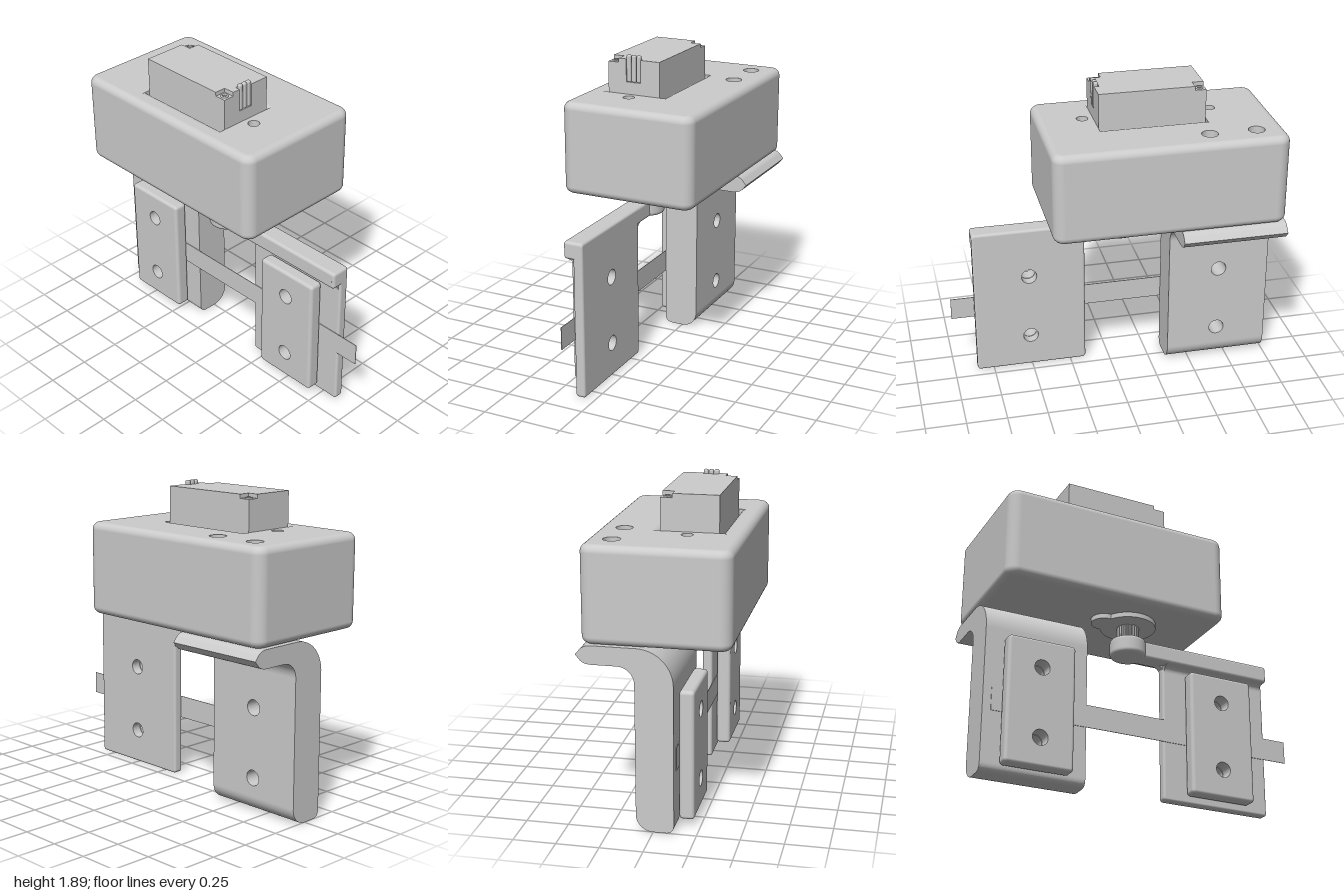
import * as THREE from 'three';
import { mergeGeometries } from 'three/addons/utils/BufferGeometryUtils.js';
import { RoundedBoxGeometry } from 'three/addons/geometries/RoundedBoxGeometry.js';

const grey = new THREE.MeshStandardMaterial({ color: 0xcccccc, side: THREE.DoubleSide });
const P = (x, y) => new THREE.Vector2(x, y);

// hole outlines; "from" is the depth at which a blind hole starts (0 = goes right through)
const circle = (x, y, r, from = 0) => ({
  from, pts: Array.from({ length: 32 }, (_, i) => P(x + r * Math.cos(i * Math.PI / 16), y + r * Math.sin(i * Math.PI / 16))),
});
const rect = (x0, x1, y0, y1, from = 0) => ({ from, pts: [P(x0, y0), P(x1, y0), P(x1, y1), P(x0, y1)] });

function mesh(parent, name, geo, x = 0, y = 0, z = 0) {
  const m = new THREE.Mesh(geo, grey);
  m.name = name;
  m.position.set(x, y, z);
  parent.add(m);
  return m;
}

// wall of a hole between two depths
function holeWall(pts, z0, z1) {
  const pos = [], uv = [];
  pts.forEach((a, i) => {
    const b = pts[(i + 1) % pts.length];
    pos.push(a.x, a.y, z0, a.x, a.y, z1, b.x, b.y, z1, a.x, a.y, z0, b.x, b.y, z1, b.x, b.y, z0);
    for (let k = 0; k < 12; k++) uv.push(0);
  });
  const g = new THREE.BufferGeometry();
  g.setAttribute('position', new THREE.Float32BufferAttribute(pos, 3));
  g.setAttribute('uv', new THREE.Float32BufferAttribute(uv, 2));
  g.computeVertexNormals();
  return g;
}

// slab with corner radius r, rounded edges e and sharp holes, lying in XY and rising d along Z
function slab(x0, x1, y0, y1, d, r, e, holes) {
  const N = 8, pos = [], nor = [], uv = [], idx = [], outline = [];
  const rows = 2 * N + 2, cols = 4 * (N + 1);
  for (let j = 0; j < rows; j++) {
    const top = j > N;
    const b = (top ? j - N - 1 : j - N) / N * Math.PI / 2;
    const z = (top ? d - e : e) + e * Math.sin(b);
    for (let c = 0; c < 4; c++) for (let k = 0; k <= N; k++) {
      const t = (c + k / N) * Math.PI / 2, rr = r - e * (1 - Math.cos(b));
      const x = (c === 0 || c === 3 ? x1 - r : x0 + r) + rr * Math.cos(t);
      const y = (c < 2 ? y1 - r : y0 + r) + rr * Math.sin(t);
      pos.push(x, y, z);
      nor.push(Math.cos(t) * Math.cos(b), Math.sin(t) * Math.cos(b), Math.sin(b));
      uv.push(0, 0);
      if (j === 0) outline.push(P(x, y));
    }
  }
  for (let j = 0; j < rows - 1; j++) for (let i = 0; i < cols; i++) {
    const a = j * cols + i, b = j * cols + (i + 1) % cols;
    idx.push(a, b, b + cols, a, b + cols, a + cols);
  }
  const side = new THREE.BufferGeometry();
  side.setAttribute('position', new THREE.Float32BufferAttribute(pos, 3));
  side.setAttribute('normal', new THREE.Float32BufferAttribute(nor, 3));
  side.setAttribute('uv', new THREE.Float32BufferAttribute(uv, 2));
  side.setIndex(idx);
  const cap = (list, z) => {
    const s = new THREE.Shape(outline);
    list.forEach(h => s.holes.push(new THREE.Path(h.pts)));
    return new THREE.ShapeGeometry(s).translate(0, 0, z).toNonIndexed();
  };
  return mergeGeometries([side.toNonIndexed(), cap(holes, d), cap(holes.filter(h => !h.from), 0),
    ...holes.map(h => holeWall(h.pts, h.from, d))]);
}

// local (x, y) = world (x, -z), rising in y / local (x, y) = world (-z, y), running in x
const upward = (g, y) => g.rotateX(-Math.PI / 2).translate(0, y, 0);
const sideways = (g, x) => g.rotateY(Math.PI / 2).translate(x, 0, 0);
function prism(shape, depth, holes = []) {
  holes.forEach(h => shape.holes.push(new THREE.Path(h.pts)));
  return new THREE.ExtrudeGeometry(shape, { depth, bevelEnabled: false, curveSegments: 12 });
}
const poly = (...p) => new THREE.Shape(p.map(q => P(...q)));

export function createModel() {
  const root = new THREE.Group();
  const group = name => { const g = new THREE.Group(); g.name = name; root.add(g); return g; };

  // housing with mounting holes, screw holes and the motor pocket
  const housing = group('housing');
  mesh(housing, 'housingShell', upward(slab(-0.44, 0.41, -0.42, 1, 0.565, 0.07, 0.045, [
    circle(0.26, 0.54, 0.05), circle(0.26, 0.825, 0.05),
    circle(-0.125, 0.645, 0.035, 0.45), circle(-0.125, -0.145, 0.035, 0.45),
    rect(-0.35, 0.1, -0.08, 0.58, 0.4)]), 1.09));
  for (const s of [-1, 1]) {
    const lip = new THREE.Shape();
    lip.moveTo(s * 0.225, 1.5).lineTo(s * 0.225, 1.655);
    lip.quadraticCurveTo(s * 0.176, 1.655, s * 0.174, 1.59).lineTo(s * 0.174, 1.5);
    mesh(housing, 'pocketLip', prism(lip, 0.66), -0.125, 0, -0.58);
  }
  mesh(housing, 'frontScrew', new THREE.CylinderGeometry(0.035, 0.035, 0.02, 24), -0.125, 1.56, 0.145);
  for (const s of [-1, 1]) {
    const half = new THREE.CylinderGeometry(0.033, 0.033, 0.1, 16, 1, s > 0 ? 0 : Math.PI, Math.PI);
    mesh(housing, 'slottedScrew', half, -0.125 + s * 0.005, 1.59, -0.645);
  }

  // servo motor: case in three layers, notched for the cable and corner screws
  const motor = group('motor');
  mesh(motor, 'motorCase', new THREE.BoxGeometry(0.34, 0.64, 0.655), -0.125, 1.41, -0.2475);
  const cable = [[-0.295, -0.08], [-0.175, -0.08], [-0.175, -0.05], [-0.08, -0.05], [-0.08, -0.08], [0.045, -0.08]];
  mesh(motor, 'motorUpperCase', upward(prism(poly(...cable, [0.045, 0.575], [-0.295, 0.575]), 0.115), 1.73));
  mesh(motor, 'motorLid', upward(prism(poly([-0.295, -0.01], [-0.225, -0.01], [-0.225, -0.08],
    ...cable.slice(1), [0.045, 0.505], [-0.025, 0.505], [-0.025, 0.575], [-0.295, 0.575]), 0.025), 1.845));
  for (const [x, z] of [[-0.26, 0.045], [0.01, -0.54]]) {
    const ring = new THREE.TorusGeometry(0.017, 0.006, 8, 24).rotateX(Math.PI / 2);
    mesh(motor, 'caseScrew', ring, x, 1.847, z);
  }
  for (const x of [-0.16, -0.1275, -0.095])
    mesh(motor, 'cableWire', new RoundedBoxGeometry(0.029, 0.165, 0.028, 3, 0.01), x, 1.8125, 0.068);

  // gear cover and splined shaft
  mesh(motor, 'gearCover', new THREE.CylinderGeometry(0.17, 0.17, 0.04, 48), -0.123, 1.08, -0.09);
  mesh(motor, 'smallGearCover', new THREE.CylinderGeometry(0.08, 0.08, 0.04, 32), -0.123, 1.08, -0.25);
  const teeth = Array.from({ length: 84 }, (_, i) => {
    const r = i % 4 < 2 ? 0.068 : 0.058, a = i / 84 * Math.PI * 2;
    return [r * Math.cos(a), r * Math.sin(a)];
  });
  mesh(motor, 'splineShaft', upward(prism(poly(...teeth), 0.14), 0.94), -0.123, 0, -0.09);

  // swinging jaw: plate, thick top rail, arm and hub
  const jaw = group('swingingJaw');
  const jawHoles = z => [circle(-z, 0.645, 0.048), circle(-z, 0.215, 0.048)];
  mesh(jaw, 'jawPlate', sideways(slab(-0.855, -0.15, 0, 0.97, 0.062, 0.02, 0.015, jawHoles(0.505)), -0.122));
  const rail = new THREE.Shape();
  rail.moveTo(-0.07, 0.96).lineTo(-0.165, 0.97).quadraticCurveTo(-0.183, 0.97, -0.183, 0.95);
  rail.lineTo(-0.183, 0.885).quadraticCurveTo(-0.183, 0.865, -0.165, 0.863);
  rail.quadraticCurveTo(-0.122, 0.86, -0.122, 0.82).lineTo(-0.07, 0.82);
  mesh(jaw, 'railFillet', prism(rail, 0.68), 0, 0, 0.16);
  mesh(jaw, 'jawArm', new RoundedBoxGeometry(0.123, 0.107, 0.945, 4, 0.018), -0.1215, 0.9175, 0.3825);
  const web = new THREE.Shape();
  web.moveTo(-0.16, 0.82).quadraticCurveTo(-0.15, 0.865, -0.105, 0.868).lineTo(-0.16, 0.9);
  mesh(jaw, 'armFillet', sideways(prism(web, 0.05), -0.116));
  const hub = new THREE.Path();
  hub.moveTo(0, 0.865).lineTo(0.085, 0.865).quadraticCurveTo(0.11, 0.865, 0.11, 0.89);
  hub.lineTo(0.11, 0.95).quadraticCurveTo(0.11, 0.975, 0.085, 0.975).lineTo(0, 0.975);
  mesh(jaw, 'jawHub', new THREE.LatheGeometry(hub.getPoints(6), 40), -0.123, 0, -0.09);

  // fixed bracket: drilled leg and flange joined by curved sections
  const bracket = group('fixedBracket');
  const z0 = -1, len = 0.643;
  mesh(bracket, 'leg', sideways(prism(poly([0.357, 0.1], [1, 0.1], [1, 0.88], [0.357, 0.88]), 0.22, jawHoles(-0.68)), -0.12));
  mesh(bracket, 'flange', upward(prism(poly([0.2, 0.357], [0.34, 0.357], [0.34, 1], [0.2, 1]), 0.11,
    [circle(0.26, 0.54, 0.05), circle(0.26, 0.825, 0.05)]), 0.98));
  const elbow = new THREE.Shape();
  elbow.moveTo(-0.12, 0.88).absarc(0.09, 0.88, 0.21, Math.PI, Math.PI / 2, true);
  elbow.lineTo(0.2, 1.09).lineTo(0.2, 0.98).absarc(0.2, 0.88, 0.1, Math.PI / 2, Math.PI, false);
  mesh(bracket, 'elbow', prism(elbow, len), 0, 0, z0);
  const tip = new THREE.Shape();
  tip.moveTo(0.34, 1.09).quadraticCurveTo(0.39, 1.09, 0.41, 1.065).lineTo(0.435, 1.035);
  tip.lineTo(0.41, 1.005).quadraticCurveTo(0.39, 0.98, 0.34, 0.98);
  mesh(bracket, 'flangeTip', prism(tip, len), 0, 0, z0);
  const foot = new THREE.Shape();
  foot.moveTo(-0.12, 0.1).lineTo(-0.12, 0.05).quadraticCurveTo(-0.12, 0, -0.07, 0);
  foot.lineTo(0, 0).absarc(0, 0.1, 0.1, -Math.PI / 2, 0, false);
  mesh(bracket, 'foot', prism(foot, len), 0, 0, z0);

  // clamping pads, one per jaw
  for (const [name, z] of [['frontPad', 0.505], ['backPad', -0.68]])
    mesh(root, name, sideways(slab(-z - 0.21, -z + 0.21, 0.04, 0.82, 0.087, 0.022, 0.02, jawHoles(z)), -0.214));

  // thin strip held between the pads and the jaws
  mesh(root, 'strip', sideways(prism(poly([-1, 0.365], [0.95, 0.365], [0.95, 0.505], [-1, 0.505]), 0.004), -0.126));
  return root;
}
